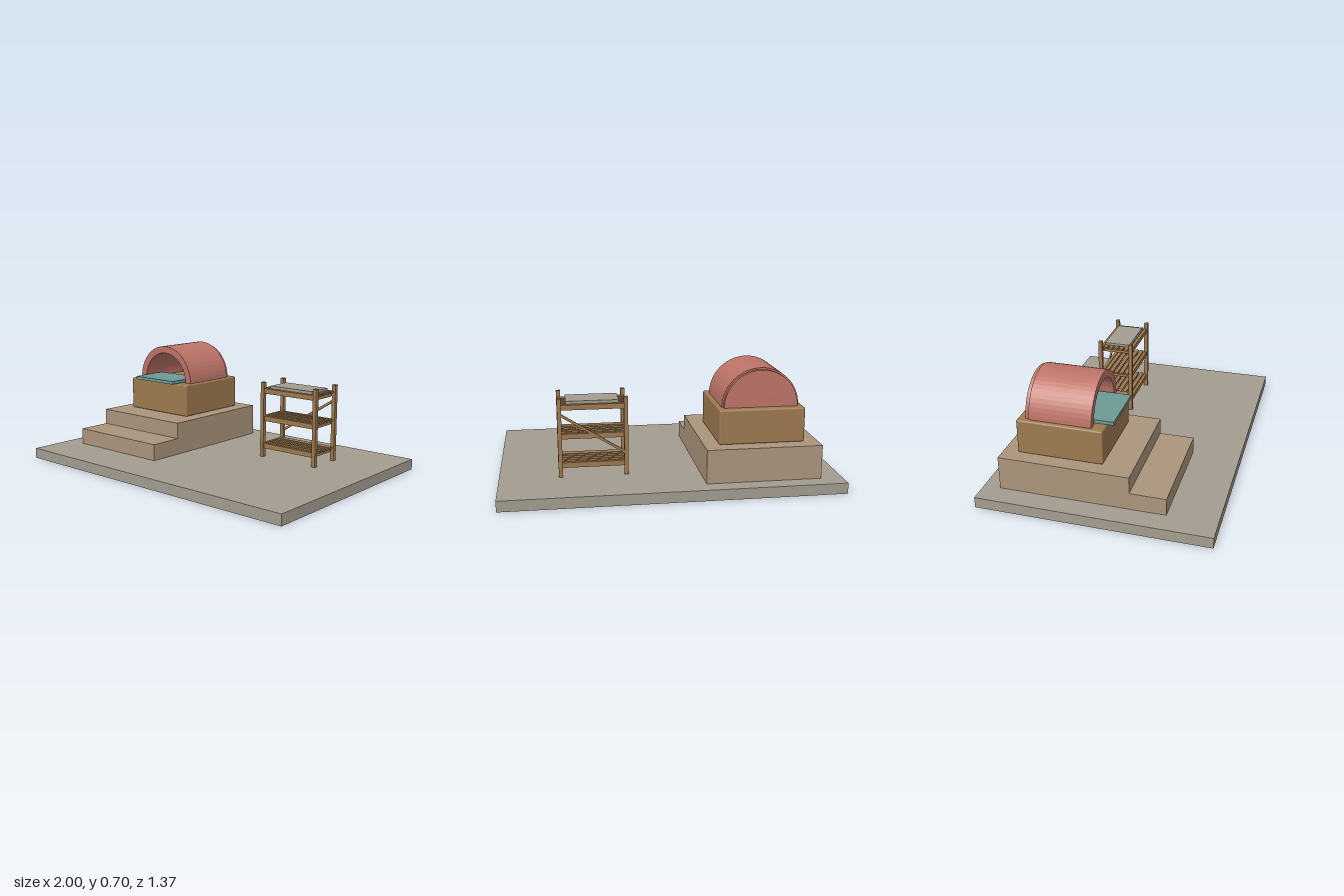
import * as THREE from 'three';
import { RoundedBoxGeometry } from 'three/addons/geometries/RoundedBoxGeometry.js';

const mat = (name, color) => {
  const m = new THREE.MeshStandardMaterial({ color });
  m.name = name;
  return m;
};

export function createModel() {
  const stone = mat('grey stone', 0xa39d90);
  const plaster = mat('tan plaster', 0xab957d);
  const wood = mat('brown wood', 0x9e7a50);
  const clay = mat('red clay', 0xbd7468);
  const teal = mat('teal board', 0x6d9a94);

  const model = new THREE.Group();
  model.name = 'kilnYard';

  const add = (parent, name, geometry, material) => {
    const mesh = new THREE.Mesh(geometry, material);
    mesh.name = name;
    parent.add(mesh);
    return mesh;
  };
  // Box given by its minimum and maximum corners
  const box = (parent, name, material, x0, x1, y0, y1, z0, z1) => {
    const mesh = add(parent, name, new THREE.BoxGeometry(x1 - x0, y1 - y0, z1 - z0), material);
    mesh.position.set((x0 + x1) / 2, (y0 + y1) / 2, (z0 + z1) / 2);
    return mesh;
  };

  // Ground slab, plinth and front step
  box(model, 'groundSlab', stone, -1, 1, 0, 0.065, -0.683, 0.683);
  box(model, 'plinth', plaster, -0.87, -0.187, 0.065, 0.267, -0.583, 0.185);
  box(model, 'frontStep', plaster, -0.87, -0.187, 0.065, 0.167, 0.185, 0.395);

  // Kiln: softened wooden base, open clay vault, closed back and sliding board
  const kiln = new THREE.Group();
  kiln.name = 'kiln';
  model.add(kiln);
  const kilnBase = add(kiln, 'kilnBase', new RoundedBoxGeometry(0.51, 0.208, 0.505, 2, 0.01), wood);
  kilnBase.position.set(-0.53, 0.371, -0.243);

  const extrudeArch = (outer, inner, depth) => {
    const shape = new THREE.Shape();
    shape.absarc(0, 0, outer, 0, Math.PI, false);
    if (inner > 0) shape.absarc(0, 0, inner, Math.PI, 0, true);
    shape.closePath();
    return new THREE.ExtrudeGeometry(shape, { depth, bevelEnabled: false, curveSegments: 14 });
  };
  add(kiln, 'vault', extrudeArch(0.23, 0.185, 0.367), clay).position.set(-0.53, 0.475, -0.427);
  add(kiln, 'vaultBack', extrudeArch(0.22, 0, 0.03), clay).position.set(-0.53, 0.475, -0.449);
  box(kiln, 'slidingBoard', teal, -0.701, -0.36, 0.478, 0.498, -0.2, 0.05);

  // Shelf rack
  const rack = new THREE.Group();
  rack.name = 'shelfRack';
  rack.position.set(0.445, 0, -0.236);
  model.add(rack);
  for (const sx of [-1, 1]) {
    for (const sz of [-1, 1]) {
      const post = add(rack, 'post', new THREE.BoxGeometry(0.024, 0.475, 0.025), wood);
      post.position.set(sx * 0.194, 0.3025, sz * 0.103);
    }
  }
  for (const y of [0.12, 0.295, 0.469]) {
    const shelf = new THREE.Group();
    shelf.name = 'shelf';
    shelf.position.y = y;
    rack.add(shelf);
    for (const s of [-1, 1]) {
      box(shelf, 'longRail', wood, -0.184, 0.184, 0, 0.031, s * 0.097 - 0.01, s * 0.097 + 0.01);
      box(shelf, 'endRail', wood, s * 0.17 - 0.01, s * 0.17 + 0.01, -0.002, 0.024, -0.09, 0.09);
    }
    for (let i = -2; i <= 2; i++) {
      box(shelf, 'slat', wood, -0.2, 0.2, 0.022, 0.033, i * 0.035 - 0.0125, i * 0.035 + 0.0125);
    }
  }
  box(rack, 'stoneSheet', stone, -0.155, 0.155, 0.502, 0.517, -0.083, 0.083);

  // Diagonal brace across the back
  const brace = add(rack, 'backBrace', new THREE.BoxGeometry(0.45, 0.015, 0.01), wood);
  brace.position.set(0, 0.322, -0.108);
  brace.rotation.z = Math.atan2(0.235, 0.37);

  return model;
}
